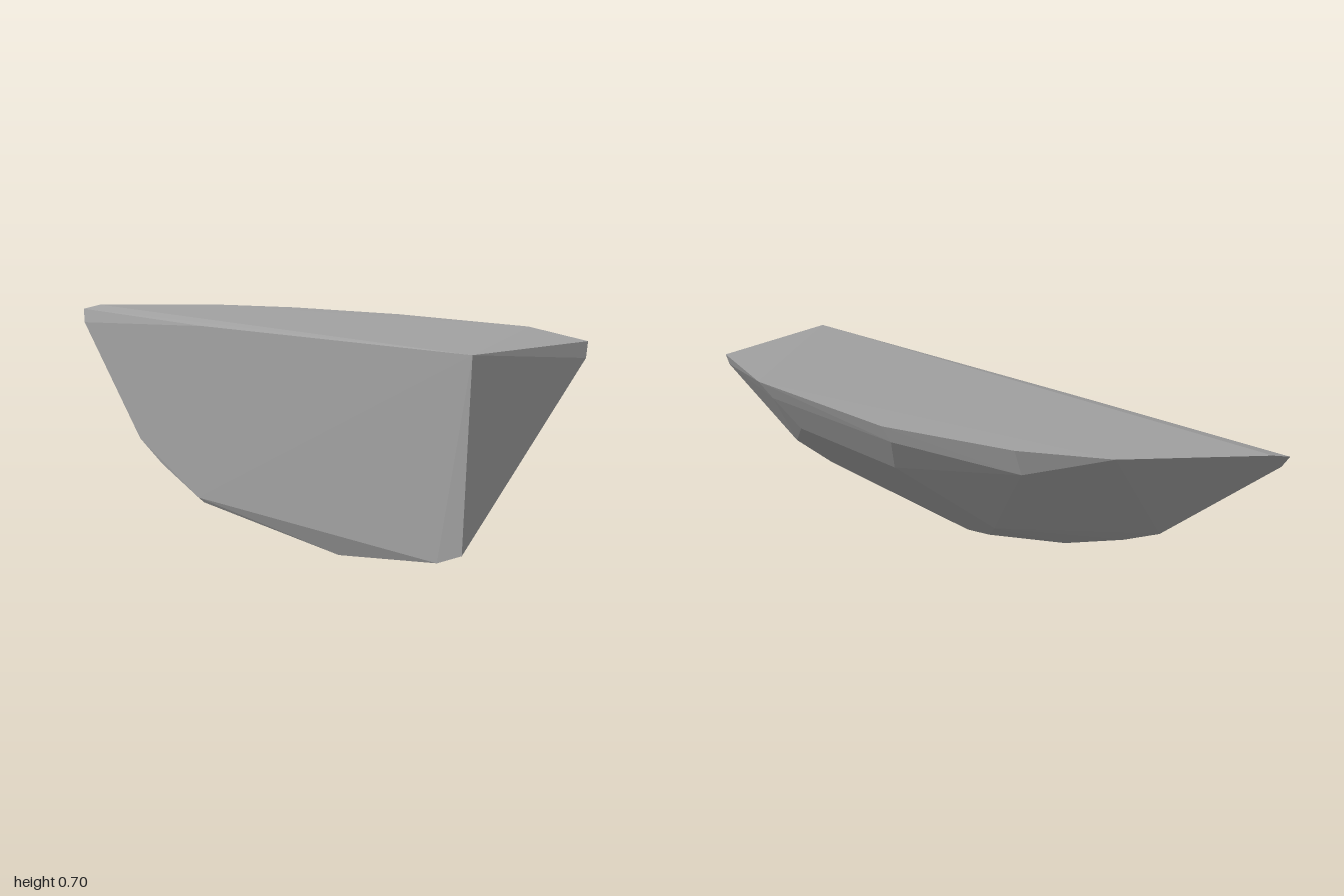
import * as THREE from 'three';
import { ConvexGeometry } from 'three/addons/geometries/ConvexGeometry.js';

// A split stone: flat top, flat front and end, faceted slanting underside.
export function createModel() {
  const group = new THREE.Group();
  group.name = 'rock';
  const stone = new THREE.MeshStandardMaterial({ color: 0xa0a0a0 });
  stone.name = 'grey stone';

  // rim of the flat top, from the pointed tip round the back to the front corner
  const topRim = [
    [-1, 0.685, 0.32], [-0.97, 0.7, 0.265], [-0.63, 0.703, -0.07], [-0.36, 0.7, -0.215],
    [0.08, 0.692, -0.34], [0.67, 0.684, -0.345], [0.99, 0.667, -0.23],
    [0.97, 0.655, 0.237], [-0.2, 0.665, 0.307],
  ];
  // lower edge of the front face
  const frontEdge = [
    [-0.97, 0.635, 0.335], [-0.56, 0.235, 0.345], [-0.42, 0.16, 0.34],
    [-0.2, 0.075, 0.335], [-0.18, 0.06, 0.325], [0.88, 0.067, 0.267],
  ];
  // remaining corners of the flat end
  const endFace = [[0.955, 0.1, 0.247], [0.93, 0.16, 0.15], [1, 0.62, -0.21]];
  // large slanting facet underneath
  const underside = [
    [0.575, 0.5, -0.25], [0.123, 0.493, -0.243], [-0.09, 0.221, 0.025], [0.048, 0.08, 0.165],
    [0.2, 0.02, 0.22], [0.46, 0, 0.265], [0.8, 0.16, 0.09], [0.85, 0.29, -0.04],
  ];
  // narrow band just below the back rim
  const backBand = [[0.63, 0.625, -0.32], [0.06, 0.635, -0.32], [-0.37, 0.61, -0.19]];

  const corners = [topRim, frontEdge, endFace, underside, backBand].flat();
  const body = new THREE.Mesh(
    new ConvexGeometry(corners.map((p) => new THREE.Vector3(...p))), stone);
  body.name = 'stoneBody';
  group.add(body);
  return group;
}
